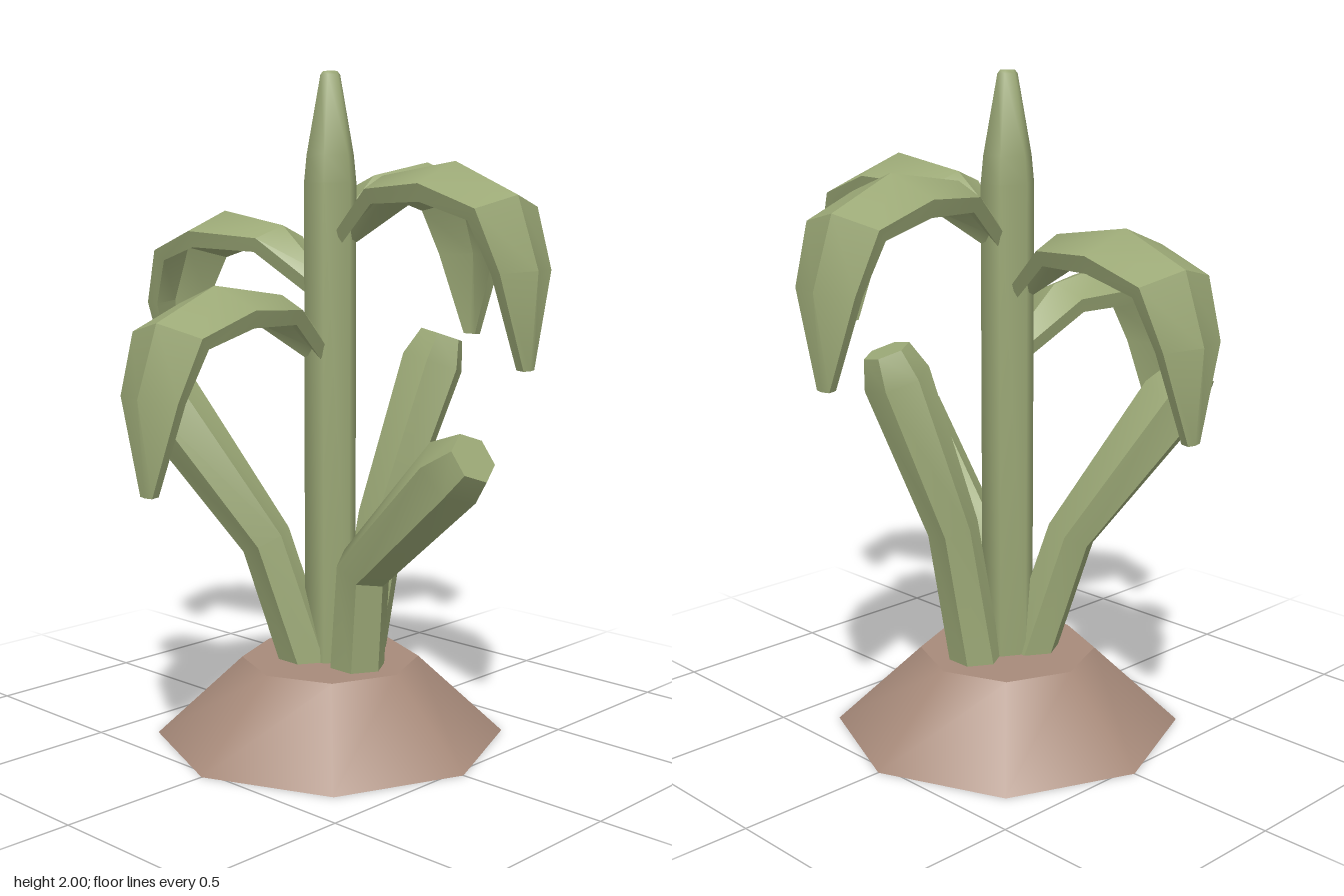
import * as THREE from 'three';
import { toCreasedNormals } from 'three/addons/utils/BufferGeometryUtils.js';

// Skin a list of equal-length point rings and close both ends
function loft(rings, crease) {
  const n = rings[0].length;
  const pos = rings.flat().flatMap((p) => [p.x, p.y, p.z]);
  const index = [];
  for (let i = 0; i < rings.length - 1; i++) {
    for (let j = 0; j < n; j++) {
      const a = i * n + j, b = i * n + (j + 1) % n;
      index.push(a, b, a + n, b, b + n, a + n);
    }
  }
  const last = (rings.length - 1) * n;
  for (let j = 1; j < n - 1; j++) {
    index.push(0, j + 1, j, last, last + j, last + j + 1);
  }
  const g = new THREE.BufferGeometry();
  g.setAttribute('position', new THREE.Float32BufferAttribute(pos, 3));
  g.setIndex(index);
  return toCreasedNormals(g, crease);
}

const tangentAt = (pts, i) => pts[Math.min(i + 1, pts.length - 1)].clone()
  .sub(pts[Math.max(i - 1, 0)]).normalize();

// Six-sided cut stalk along a path of [x, y, z, radius]
function stalkGeometry(path) {
  const pts = path.map(([x, y, z]) => new THREE.Vector3(x, y, z));
  const rings = pts.map((p, i) => {
    const t = tangentAt(pts, i);
    const u = new THREE.Vector3(0, 0, 1).addScaledVector(t, -t.z).normalize();
    const v = t.clone().cross(u);
    return Array.from({ length: 6 }, (_, j) => {
      const a = j * Math.PI / 3, r = path[i][3];
      return p.clone().addScaledVector(u, r * Math.cos(a)).addScaledVector(v, r * Math.sin(a));
    });
  });
  return loft(rings, 0.75);
}

// Drooping folded leaf growing along +x: [reach, height, halfWidth, fold, thickness]
function leafGeometry() {
  const path = [
    [0.03, 1.56, 0.035, 0.03, 0.04],
    [0.20, 1.70, 0.10, 0.04, 0.045],
    [0.46, 1.74, 0.16, 0.06, 0.05],
    [0.67, 1.65, 0.145, 0.05, 0.045],
    [0.74, 1.45, 0.12, 0.04, 0.035],
    [0.72, 1.18, 0.025, 0.005, 0.025],
  ];
  const pts = path.map(([x, y]) => new THREE.Vector3(x, y, 0));
  const rings = pts.map((p, i) => {
    const [, , w, fold, thick] = path[i];
    const t = tangentAt(pts, i);
    const down = new THREE.Vector3(t.y, -t.x, 0);
    const at = (depth, z) => p.clone().addScaledVector(down, depth).setZ(z);
    return [at(0, 0), at(fold, w), at(fold + thick, w * 0.92),
      at(thick, 0), at(fold + thick, -w * 0.92), at(fold, -w)];
  });
  return loft(rings, 0.6);
}

export function createModel() {
  const model = new THREE.Group();
  const green = new THREE.MeshStandardMaterial({ color: 0x9ba876 });
  green.name = 'leafGreen';
  const brown = new THREE.MeshStandardMaterial({ color: 0xa78a7a });
  brown.name = 'soilBrown';
  const add = (name, geometry, material) => {
    const mesh = new THREE.Mesh(geometry, material);
    mesh.name = name;
    model.add(mesh);
    return mesh;
  };

  // Soil mound
  const mound = new THREE.CylinderGeometry(0.27, 0.53, 0.24, 8);
  mound.translate(0, 0.12, 0);
  add('soilMound', mound, brown);

  // Central stem with tapered tip
  const profile = [[0.08, 0.2], [0.08, 1.68], [0.072, 1.76], [0.03, 1.99], [0.022, 2], [0, 2]]
    .map(([r, y]) => new THREE.Vector2(r, y));
  add('centralStem', toCreasedNormals(new THREE.LatheGeometry(profile, 6), 1.1), green);

  // Bent stalks with cut ends
  add('frontStalk', stalkGeometry([
    [-0.01, 0.2, 0.12, 0.085], [-0.025, 0.55, 0.16, 0.085],
    [-0.1, 0.9, 0.56, 0.105], [-0.105, 0.95, 0.635, 0.075]]), green);
  add('leftStalk', stalkGeometry([
    [0.12, 0.2, 0.01, 0.08], [0.18, 0.66, 0.05, 0.078],
    [0.33, 1.13, 0.12, 0.1], [0.355, 1.215, 0.135, 0.07]]), green);
  add('rightStalk', stalkGeometry([
    [-0.05, 0.2, -0.04, 0.08], [-0.145, 0.61, -0.13, 0.078],
    [-0.34, 1.04, -0.36, 0.105], [-0.385, 1.13, -0.405, 0.07]]), green);

  // Four leaves at stepped heights: name, turn, drop
  const leaf = leafGeometry();
  for (const [name, turn, drop] of [
    ['leftLeaf', 0.04, 0], ['frontLeaf', 0.04 - Math.PI / 2, 0],
    ['backLeaf', Math.PI / 2, -0.15], ['rightLeaf', Math.PI, -0.34],
  ]) {
    const mesh = add(name, leaf, green);
    mesh.rotation.y = turn;
    mesh.position.y = drop;
  }
  return model;
}
